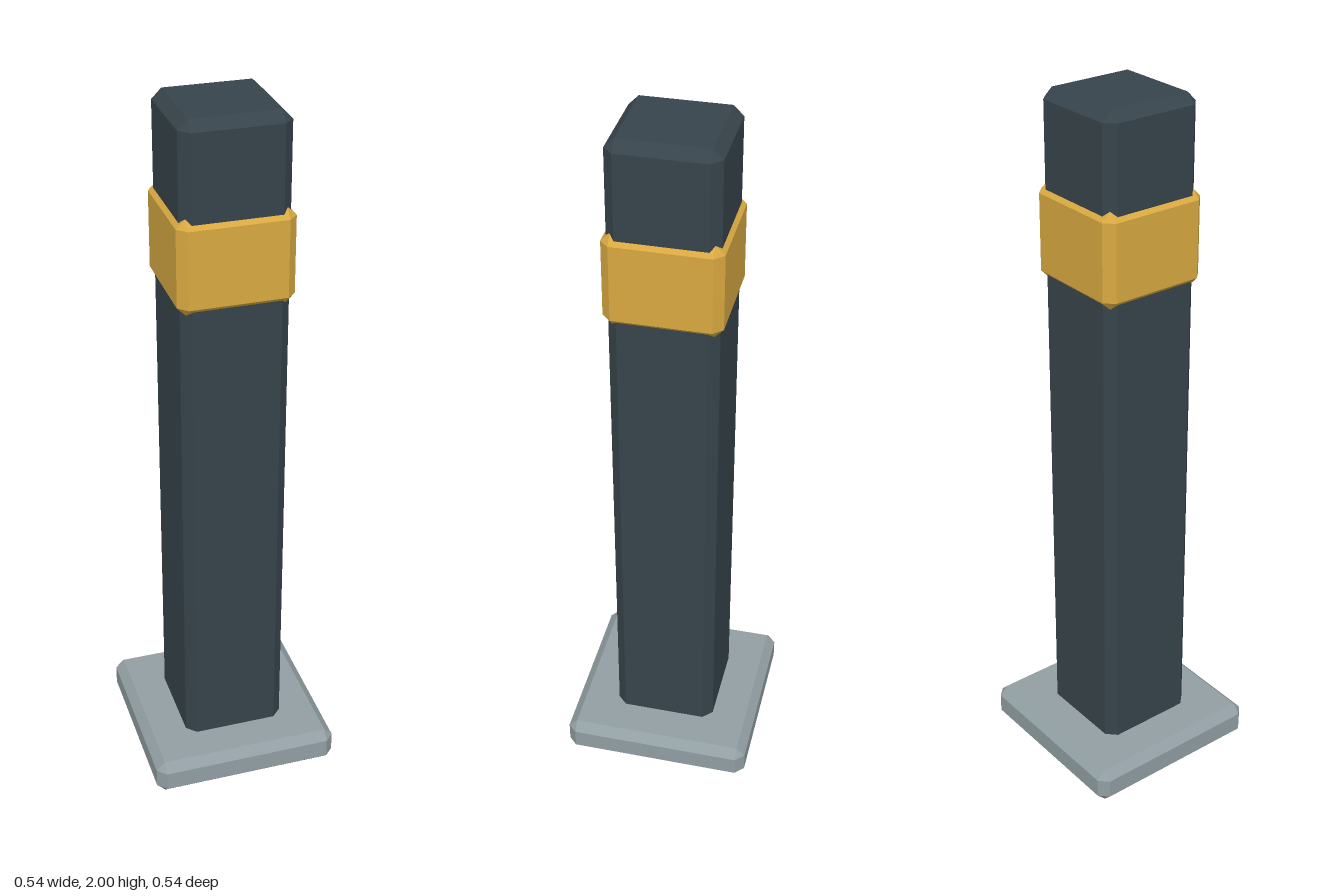
import * as THREE from 'three';
import { ConvexGeometry } from 'three/addons/geometries/ConvexGeometry.js';

const steel = new THREE.MeshStandardMaterial({ color: 0x37444b });
steel.name = 'dark slate';
const yellow = new THREE.MeshStandardMaterial({ color: 0xd9a941 });
yellow.name = 'amber yellow';
const grey = new THREE.MeshStandardMaterial({ color: 0x919ea3 });
grey.name = 'light grey';

// Square block of half-width h between two heights, every edge chamfered by c
function chamferedBlock(name, material, h, bottom, top, c) {
  const hy = (top - bottom) / 2;
  const points = [];
  for (const x of [-1, 1]) for (const y of [-1, 1]) for (const z of [-1, 1]) {
    points.push(
      new THREE.Vector3(x * h, y * (hy - c), z * (h - c)),
      new THREE.Vector3(x * (h - c), y * hy, z * (h - c)),
      new THREE.Vector3(x * (h - c), y * (hy - c), z * h),
    );
  }
  const mesh = new THREE.Mesh(new ConvexGeometry(points), material);
  mesh.name = name;
  mesh.position.y = (bottom + top) / 2;
  return mesh;
}

export function createModel() {
  const model = new THREE.Group();
  model.name = 'bollard';
  model.add(
    chamferedBlock('basePlate', grey, 0.272, 0, 0.106, 0.025),
    chamferedBlock('post', steel, 0.147, 0.05, 2, 0.027),
    chamferedBlock('reflectiveBand', yellow, 0.158, 1.485, 1.75, 0.025),
  );
  return model;
}
